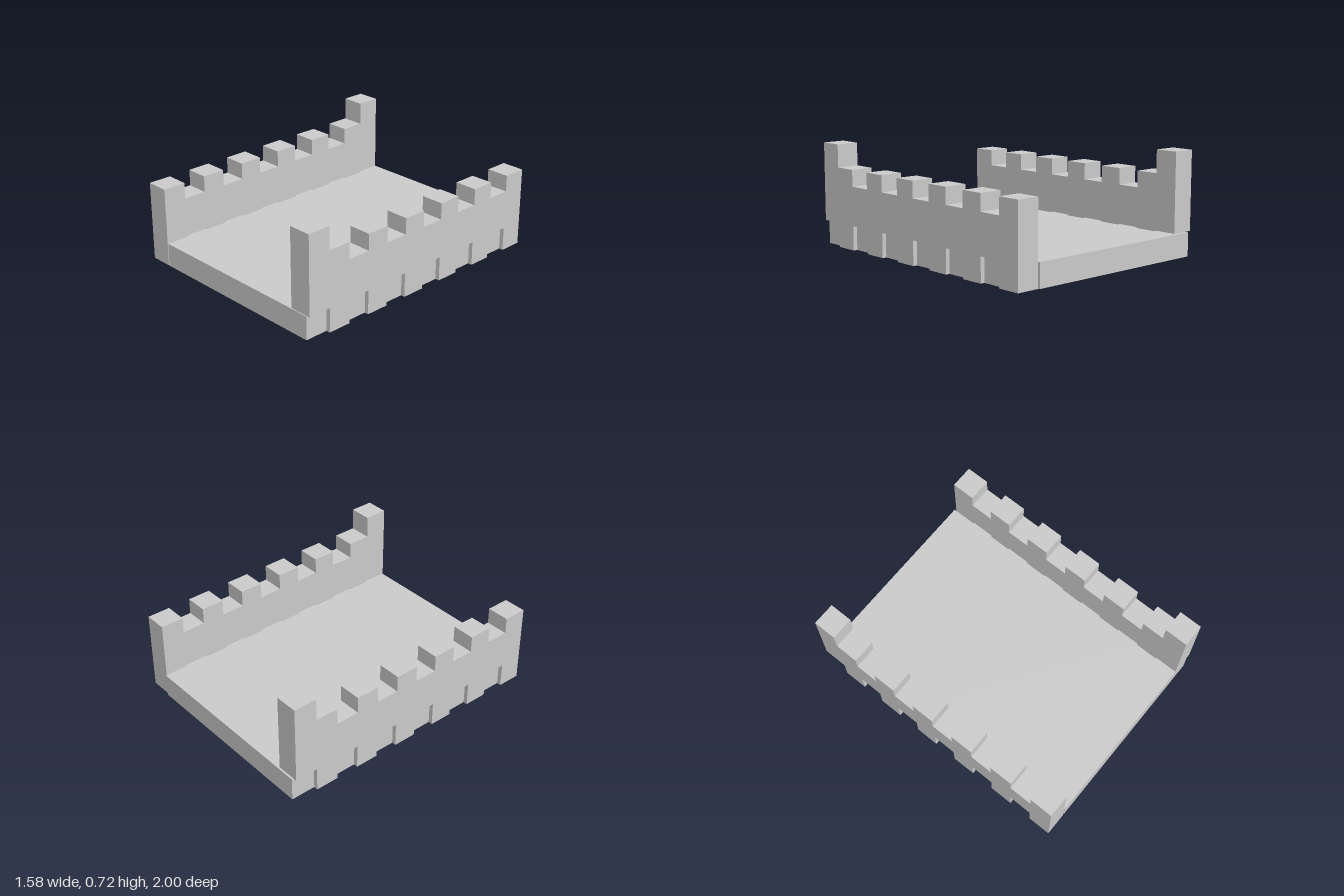
import * as THREE from 'three';

const CELLS = 12, CELL = 1.99 / CELLS;   // each wall is divided into equal cells
const OUT = 0.79, INNER = 0.627;         // outer and inner wall planes
const material = new THREE.MeshStandardMaterial({ color: 0xcccccc, flatShading: true });

// Wall panel: tall corner post, battlements above, slots for the floor tabs below.
function wallGeometry() {
  const top = [], bottom = [];
  for (let i = 0; i < CELLS; i++) {
    const even = i % 2 === 0;
    const yTop = i === 0 ? 0.72 : even ? 0.445 : 0.56;
    const yBottom = even ? 0.17 : 0;
    for (const s of [i, i + 1]) {
      top.push(new THREE.Vector2(1 - s * CELL, yTop));
      bottom.push(new THREE.Vector2(1 - s * CELL, yBottom));
    }
  }
  const shape = new THREE.Shape([...top, ...bottom.reverse()]);
  const geometry = new THREE.ExtrudeGeometry(shape, { depth: OUT - INNER, bevelEnabled: false });
  return geometry.rotateY(-Math.PI / 2).translate(OUT, 0, 0);
}

// Floor slab: tabs reach into the wall slots on both sides.
function floorGeometry() {
  const edge = (last) => {
    const points = [];
    for (let i = 0; i < CELLS; i++) {
      const x = i % 2 === 0 ? 0.76 : 0.621;
      const end = i === CELLS - 1 ? last : 1 - (i + 1) * CELL;
      points.push([x, 1 - i * CELL], [x, end]);
    }
    return points;
  };
  const right = edge(-1).map(([x, z]) => new THREE.Vector2(x, -z));
  // the opposite edge is turned half round and shifted with its wall
  const left = edge(-0.99).map(([x, z], i) => new THREE.Vector2(-x, i === 0 ? 1 : z - 0.01));
  const shape = new THREE.Shape([...right, ...left]);
  const geometry = new THREE.ExtrudeGeometry(shape, { depth: 0.165, bevelEnabled: false });
  return geometry.rotateX(-Math.PI / 2);
}

export function createModel() {
  const model = new THREE.Group();
  model.name = 'battlementTray';
  const add = (name, geometry) => {
    const mesh = new THREE.Mesh(geometry, material);
    mesh.name = name;
    model.add(mesh);
    return mesh;
  };

  add('floor', floorGeometry());
  const wall = wallGeometry();
  add('leftWall', wall);
  // the other wall is the same panel turned half round
  const rightWall = add('rightWall', wall);
  rightWall.rotation.y = Math.PI;
  rightWall.position.z = 0.01;
  return model;
}
